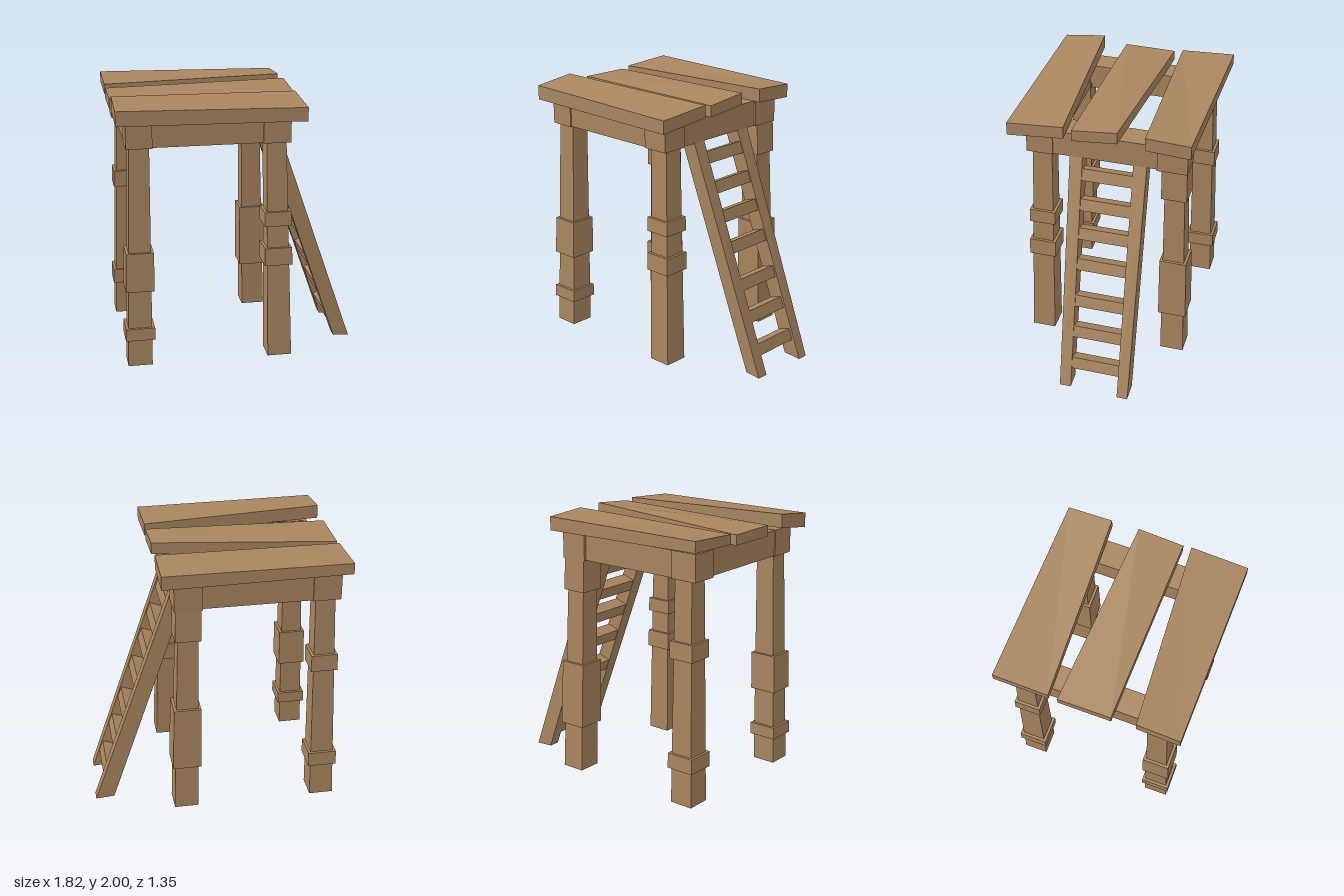
import * as THREE from 'three';

const wood = new THREE.MeshStandardMaterial({ color: 0xa9865f, flatShading: true });
const mix = (a, b, t) => a + (b - a) * t;

// Six-sided block: place(i, j, k) gives the position of each corner, i/j/k = 0 or 1 along x/y/z
function block(name, place) {
  const geo = new THREE.BoxGeometry(1, 1, 1);
  const pos = geo.attributes.position;
  for (let n = 0; n < pos.count; n++) {
    pos.setXYZ(n, ...place(pos.getX(n) > 0 ? 1 : 0, pos.getY(n) > 0 ? 1 : 0, pos.getZ(n) > 0 ? 1 : 0));
  }
  const flat = geo.toNonIndexed();
  flat.computeVertexNormals();
  const mesh = new THREE.Mesh(flat, wood);
  mesh.name = name;
  return mesh;
}

const box = (name, x0, x1, y0, y1, z0, z1) =>
  block(name, (i, j, k) => [i ? x1 : x0, j ? y1 : y0, k ? z1 : z0]);

// Slice of a splayed, tapering leg between two heights, grown outward by extra
function legSlice(name, sx, sz, y0, y1, extra) {
  return block(name, (i, j, k) => {
    const y = j ? y1 : y0;
    const t = (y - 0.06) / 1.62;
    const offset = mix(0.515, 0.485, t);
    const half = mix(0.088, 0.071, t) + extra;
    return [-0.26 + sx * offset + (i * 2 - 1) * half, y, -0.03 + sz * offset + (k * 2 - 1) * half];
  });
}

export function createModel() {
  const model = new THREE.Group();
  model.name = 'watchPlatform';

  // Legs with collars and a corner block on top of each
  const legs = [
    { name: 'frontRightLeg', sx: -1, sz: 1, collars: [[0.26, 0.35], [0.63, 0.915]], cap: [-0.84, -0.655, 0.37, 0.565] },
    { name: 'frontLeftLeg', sx: 1, sz: 1, collars: [[0.765, 0.895], [1.06, 1.165]], cap: [0.125, 0.322, 0.37, 0.565] },
    { name: 'backRightLeg', sx: -1, sz: -1, collars: [[0.32, 0.43], [1.12, 1.245]], cap: [-0.855, -0.655, -0.6, -0.4] },
    { name: 'backLeftLeg', sx: 1, sz: -1, collars: [[0.41, 0.893], [1.44, 1.68]], cap: [0.125, 0.326, -0.61, -0.39] },
  ];
  for (const { name, sx, sz, collars, cap } of legs) {
    const leg = new THREE.Group();
    leg.name = name;
    leg.add(legSlice('post', sx, sz, 0.06, 1.7, 0));
    collars.forEach(([y0, y1]) => leg.add(legSlice('collar', sx, sz, y0, y1, 0.02)));
    leg.add(box('cornerBlock', cap[0], cap[1], 1.675, 1.87, cap[2], cap[3]));
    model.add(leg);
  }

  // Frame beams between the corner blocks
  model.add(
    box('frontBeam', -0.75, 0.22, 1.678, 1.867, 0.38, 0.555),
    box('backBeam', -0.75, 0.22, 1.678, 1.867, -0.59, -0.415),
    box('rightBeam', -0.832, -0.658, 1.678, 1.867, -0.5, 0.46),
    box('leftBeam', 0.128, 0.312, 1.678, 1.867, -0.5, 0.46),
  );

  // Crooked deck planks; each end lists [z, bottom y, top y] for its back and front edge
  const planks = {
    frontPlank: [[[0.335, 1.9, 2.0], [0.645, 1.857, 1.963]], [[0.258, 1.885, 1.975], [0.672, 1.848, 1.945]]],
    middlePlank: [[[-0.22, 1.87, 1.945], [0.16, 1.87, 1.95]], [[-0.128, 1.905, 1.992], [0.2, 1.877, 1.96]]],
    backPlank: [[[-0.68, 1.9, 1.98], [-0.284, 1.888, 1.96]], [[-0.647, 1.867, 1.968], [-0.325, 1.885, 1.985]]],
  };
  for (const [name, ends] of Object.entries(planks)) {
    model.add(block(name, (i, j, k) => {
      const [z, low, high] = ends[i][k];
      return [i ? 0.415 : -0.912, j ? high : low, z];
    }));
  }

  // Ladder rails: [z back, z front] at the foot and at the top
  const ladder = new THREE.Group();
  ladder.name = 'ladder';
  const front = { foot: [0.1, 0.185], top: [0.155, 0.25] };
  const back = { foot: [-0.343, -0.262], top: [-0.315, -0.215] };
  const rail = (name, { foot, top }, reach) => block(name, (i, j, k) => [
    j ? (i ? 0.3 : 0.18) : (i ? reach : 0.77),
    j ? (k ? 1.69 : 1.71) : (i ? 0 : 0.01),
    j ? top[k] : foot[k],
  ]);
  ladder.add(rail('frontRail', front, 0.89), rail('backRail', back, 0.908));

  // Rungs lie along the slope of the rails
  const lean = Math.atan2(0.59, 1.7);
  for (const y of [0.165, 0.404, 0.634, 0.902, 1.124, 1.329, 1.54]) {
    const t = y / 1.7;
    const z0 = mix(back.foot[1], back.top[1], t) - 0.03;
    const z1 = mix(front.foot[0], front.top[0], t) + 0.03;
    const rung = box('rung', -0.05, 0.05, -0.044, 0.044, z0, z1);
    rung.position.set(mix(0.832, 0.24, t), y, 0);
    rung.rotation.z = lean;
    ladder.add(rung);
  }
  model.add(ladder);
  return model;
}
